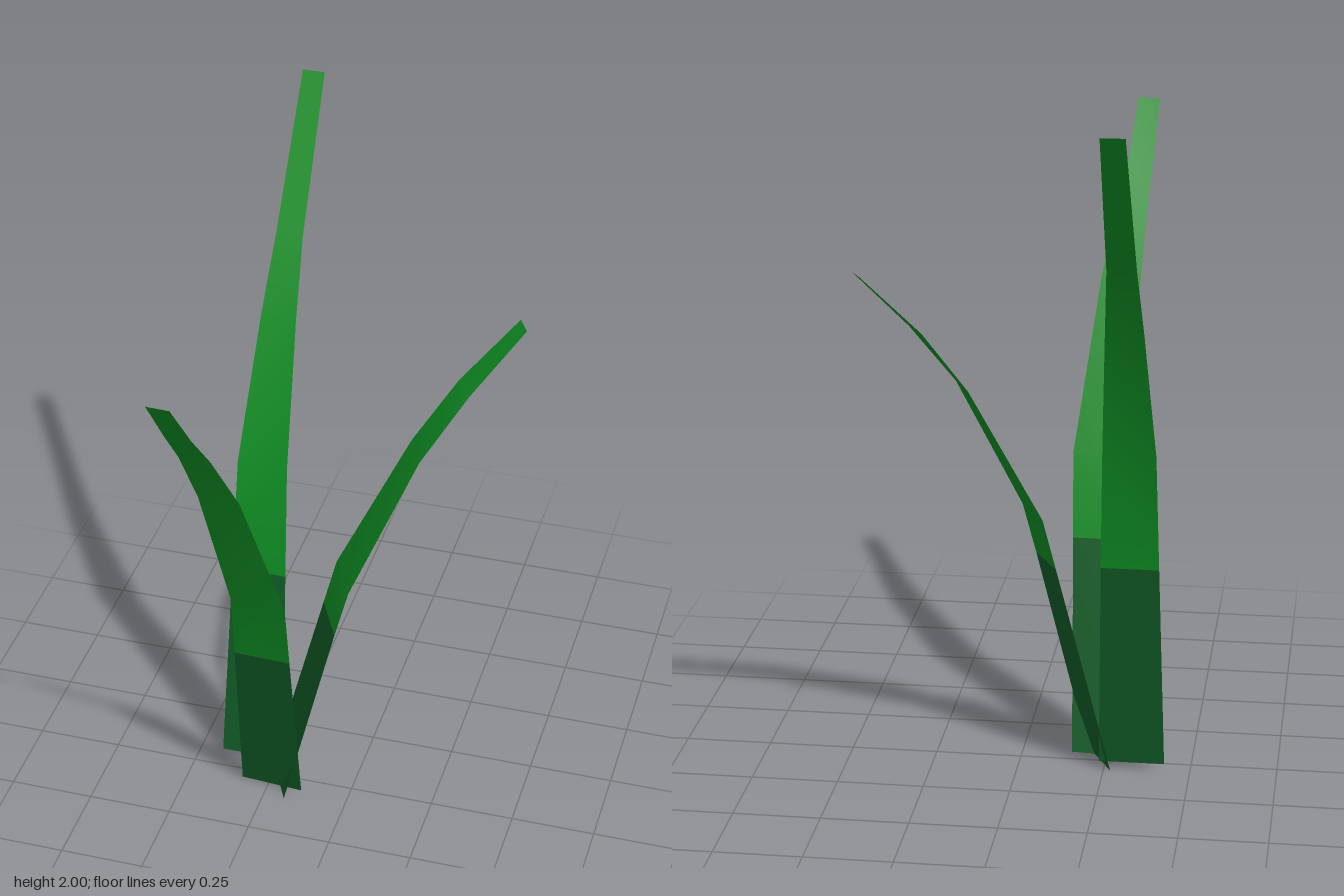
import * as THREE from 'three';

// Flat ribbon leaf: each row is [left xyz, right xyz] from root to tip.
// The first span is the dark sheath, the rest the bright leaf.
function makeBlade(name, rows, materials) {
  const positions = [];
  const index = [];
  rows.forEach((row, i) => {
    positions.push(...row);
    if (i > 0) {
      const a = 2 * (i - 1);
      index.push(a, a + 1, a + 3, a, a + 3, a + 2);
    }
  });
  const geometry = new THREE.BufferGeometry();
  geometry.setAttribute('position', new THREE.Float32BufferAttribute(positions, 3));
  geometry.setIndex(index);
  geometry.addGroup(0, 6, 0);
  geometry.addGroup(6, index.length - 6, 1);
  geometry.computeVertexNormals();
  const mesh = new THREE.Mesh(geometry, materials);
  mesh.name = name;
  return mesh;
}

export function createModel() {
  const sheath = new THREE.MeshStandardMaterial({ color: 0x115c27, side: THREE.DoubleSide });
  sheath.name = 'dark green';
  const leaf = new THREE.MeshStandardMaterial({ color: 0x0f8f24, side: THREE.DoubleSide });
  leaf.name = 'bright green';
  const materials = [sheath, leaf];

  const group = new THREE.Group();
  group.name = 'grassTuft';

  // Blade bending toward the front
  group.add(makeBlade('frontBlade', [
    [-0.335, 0, 0.037, -0.145, 0, 0.05],
    [-0.295, 0.615, 0.197, -0.128, 0.615, 0.203],
    [-0.28, 0.855, 0.258, -0.12, 0.855, 0.265],
    [-0.295, 1.345, 0.46, -0.18, 1.345, 0.46],
    [-0.305, 1.545, 0.57, -0.218, 1.545, 0.57],
    [-0.312, 1.66, 0.65, -0.24, 1.66, 0.65],
    [-0.32, 1.82, 0.757, -0.255, 1.82, 0.76],
  ], materials));

  // Tall blade bending toward the back
  group.add(makeBlade('backBlade', [
    [-0.425, 0.02, -0.05, -0.235, 0.02, -0.05],
    [-0.41, 0.65, -0.145, -0.245, 0.65, -0.145],
    [-0.402, 1.0, -0.2, -0.252, 1.0, -0.2],
    [-0.38, 1.4, -0.385, -0.275, 1.4, -0.385],
    [-0.37, 1.6, -0.51, -0.29, 1.6, -0.51],
    [-0.36, 2.0, -0.76, -0.295, 2.0, -0.76],
  ], materials));

  // Short blade bending to the side
  group.add(makeBlade('sideBlade', [
    [-0.185, 0, 0.1, -0.27, 0, -0.07],
    [-0.038, 0.62, 0.05, -0.113, 0.62, -0.097],
    [0, 0.77, 0.037, -0.075, 0.77, -0.105],
    [0.17, 1.17, -0.1, 0.12, 1.17, -0.205],
    [0.285, 1.35, -0.195, 0.237, 1.35, -0.275],
    [0.42, 1.525, -0.305, 0.39, 1.525, -0.36],
  ], materials));

  return group;
}
